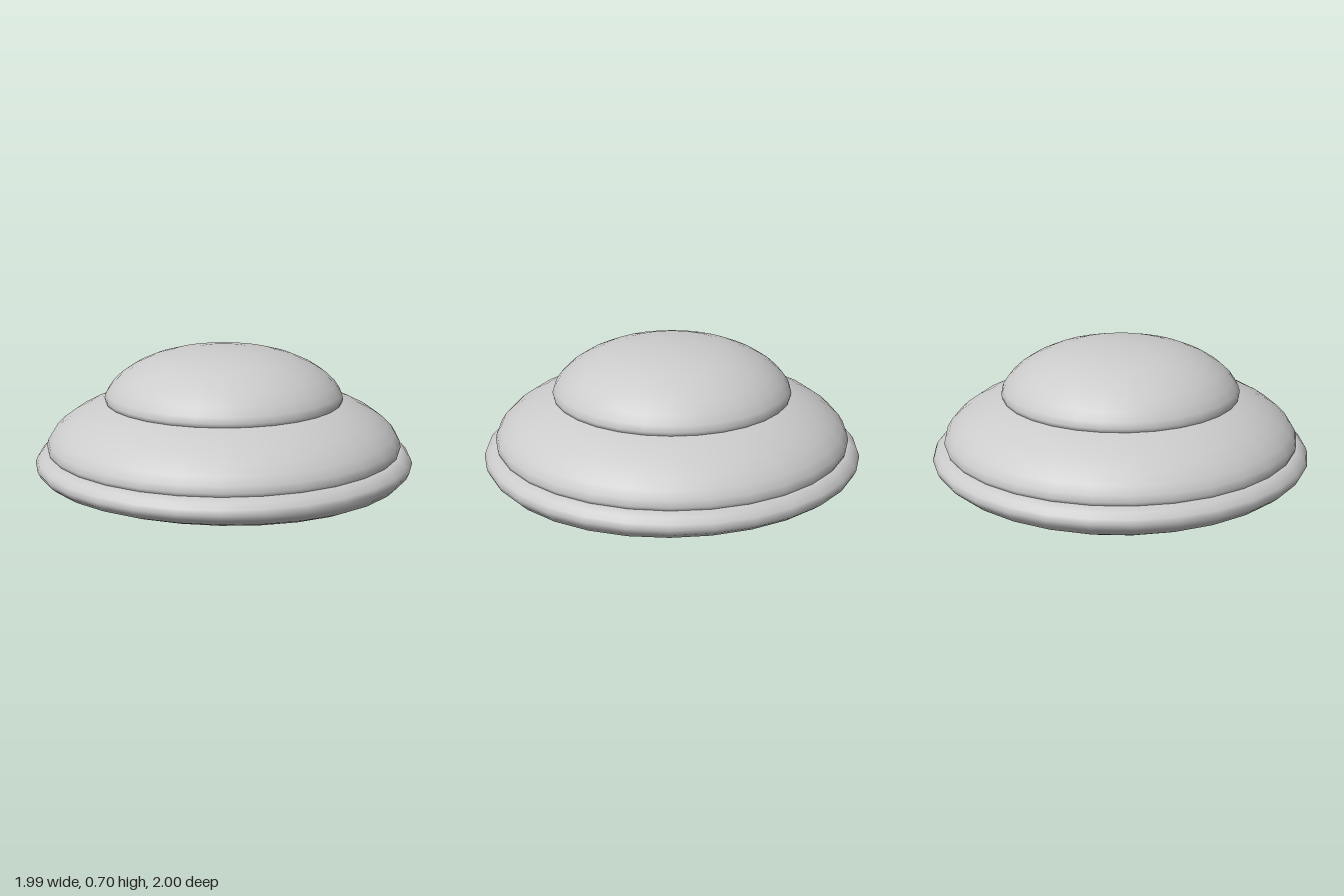
import * as THREE from 'three';
import { mergeVertices } from 'three/addons/utils/BufferGeometryUtils.js';

const material = new THREE.MeshStandardMaterial({ color: 0xcccccc, side: THREE.DoubleSide });

// Round tier turned from a [radius, height] profile, listed bottom to top
function tier(name, profile, bend) {
  let geo = new THREE.LatheGeometry(profile.map(([r, y]) => new THREE.Vector2(r, y)), 30);
  geo.deleteAttribute('uv');
  geo.deleteAttribute('normal');
  geo = mergeVertices(geo, 1e-4);
  if (bend) {
    const p = geo.attributes.position;
    for (let i = 0; i < p.count; i++) p.setY(i, bend(p.getX(i), p.getY(i)));
  }
  geo.computeVertexNormals();
  const mesh = new THREE.Mesh(geo, material);
  mesh.name = name;
  return mesh;
}

export function createModel() {
  const group = new THREE.Group();
  group.name = 'tieredDome';

  // Base cushion: the underside droops gently towards its left and right ends
  const droop = (x, y) => y - 0.036 * x * x * Math.max(0, 1 - y / 0.1);
  group.add(tier('baseCushion', [
    [0, 0.023], [0.3, 0.023], [0.6, 0.024], [0.8, 0.026], [0.89, 0.034], [0.95, 0.058],
    [0.985, 0.085], [1, 0.112], [0.99, 0.138], [0.968, 0.163], [0.938, 0.182], [0.86, 0.19],
  ], droop));

  // Middle dome
  group.add(tier('middleDome', [
    [0.9, 0.165], [0.93, 0.178], [0.937, 0.2], [0.93, 0.232], [0.905, 0.272], [0.86, 0.316],
    [0.8, 0.358], [0.72, 0.4], [0.63, 0.432], [0.54, 0.452],
  ]));

  // Top dome
  group.add(tier('topDome', [
    [0.59, 0.415], [0.624, 0.428], [0.63, 0.452], [0.62, 0.482], [0.59, 0.525], [0.54, 0.572],
    [0.47, 0.617], [0.38, 0.657], [0.28, 0.685], [0.15, 0.702], [0, 0.708],
  ]));

  return group;
}
